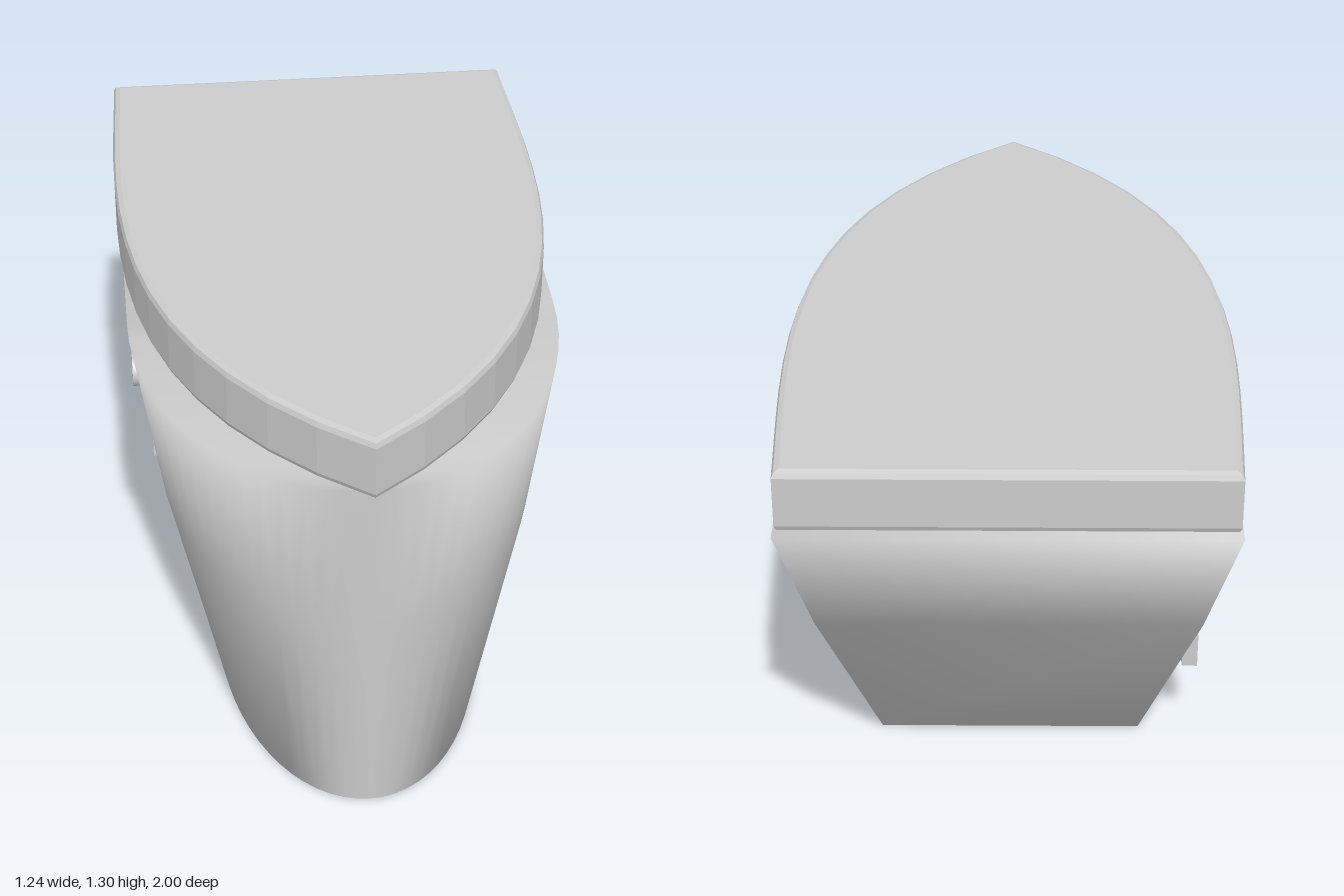
import * as THREE from 'three';

const grey = new THREE.MeshStandardMaterial({ color: 0xcccccc });
const ARC = 16; // segments along each rounded half of the bowl

// Half outline of the bowl at one level, from back corner to front tip (x >= 0)
function halfSection({ w, back, mid, front }) {
  const pts = [[w, back]];
  for (let i = 0; i <= ARC; i++) {
    const a = (i / ARC) * Math.PI / 2;
    pts.push([w * Math.cos(a), mid + (front - mid) * Math.sin(a)]);
  }
  return pts;
}

// Closed bowl lofted through D-shaped levels, smooth over its whole skin
function bowlGeometry() {
  const levels = [
    { y: 0, w: 0.383, back: -0.35, mid: 0.2, front: 0.935 },
    { y: 0.65, w: 0.535, back: -0.73, mid: 0.15, front: 0.957 },
    { y: 1.115, w: 0.61, back: -1, mid: 0.12, front: 0.96 },
  ];
  const position = [], index = [];
  let n = 0;
  for (const level of levels) {
    const half = halfSection(level);
    const mirrored = half.slice(0, -1).reverse().map(([x, z]) => [-x, z]);
    const ring = [...half, ...mirrored];
    n = ring.length;
    for (const [x, z] of ring) position.push(x, level.y, z);
  }
  // walls
  for (let l = 0; l < levels.length - 1; l++) {
    for (let i = 0; i < n; i++) {
      const j = (i + 1) % n, a = l * n + i, b = l * n + j;
      index.push(a, a + n, b, b, a + n, b + n);
    }
  }
  // bottom and top, each a strip between mirrored points
  const top = (levels.length - 1) * n;
  for (let i = 0; i < (n - 1) / 2; i++) {
    const r0 = i, r1 = i + 1, l0 = n - 1 - i, l1 = n - 2 - i;
    index.push(r0, r1, l0);
    index.push(top + r0, top + l0, top + r1);
    if (r1 !== l1) {
      index.push(r1, l1, l0);
      index.push(top + r1, top + l0, top + l1);
    }
  }
  const geo = new THREE.BufferGeometry();
  geo.setAttribute('position', new THREE.Float32BufferAttribute(position, 3));
  geo.setIndex(index);
  geo.computeVertexNormals();
  return geo;
}

// Pointed, bevelled lid
function lidGeometry() {
  const shape = new THREE.Shape();
  shape.moveTo(-0.605, -0.97);
  shape.lineTo(0.605, -0.97);
  shape.bezierCurveTo(0.63, -0.3, 0.72, 0.5, 0, 1);
  shape.bezierCurveTo(-0.72, 0.5, -0.63, -0.3, -0.605, -0.97);
  const bevel = 0.02, height = 0.185;
  const geo = new THREE.ExtrudeGeometry(shape, {
    depth: height - 2 * bevel, curveSegments: 14,
    bevelSize: bevel, bevelOffset: -bevel, bevelThickness: bevel, bevelSegments: 2,
  });
  // lay flat: outline y becomes z, thickness hangs down from the top
  geo.rotateX(Math.PI / 2);
  geo.translate(0, 1.297 - bevel, 0);
  return geo;
}

export function createModel() {
  const model = new THREE.Group();
  const add = (name, geo, x = 0, y = 0, z = 0) => {
    const mesh = new THREE.Mesh(geo, grey);
    mesh.name = name;
    mesh.position.set(x, y, z);
    model.add(mesh);
    return mesh;
  };

  add('bowl', bowlGeometry());
  add('lid', lidGeometry());
  // fittings on the right side
  add('sideStrip', new THREE.BoxGeometry(0.045, 0.44, 0.07), -0.524, 0.515, -0.405);
  const button = add('sideButton', new THREE.CylinderGeometry(0.047, 0.047, 0.04, 24), -0.582, 1.026, 0.21);
  button.rotation.z = Math.PI / 2;

  return model;
}
